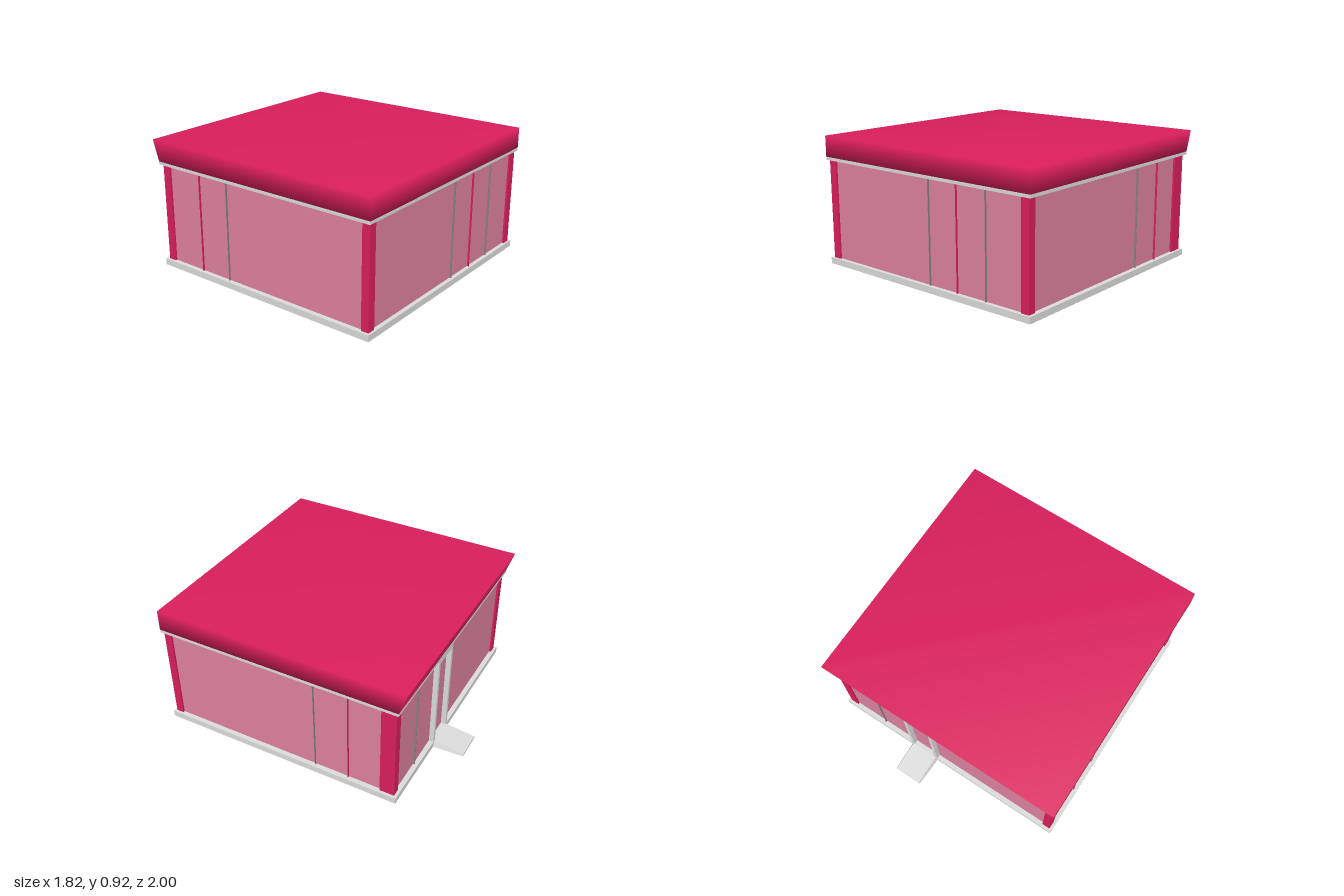
import * as THREE from 'three';

const mat = (name, color) => new THREE.MeshStandardMaterial({ name, color });

// Closed eight-cornered solid: bottom ring then top ring, each listed
// (-x,+z), (+x,+z), (+x,-z), (-x,-z). Shared corners give soft shading.
function hexahedron(bottom, top) {
  const geo = new THREE.BufferGeometry();
  geo.setAttribute('position', new THREE.Float32BufferAttribute([...bottom, ...top].flat(), 3));
  const index = [0, 2, 1, 0, 3, 2, 4, 5, 6, 4, 6, 7];
  for (let i = 0; i < 4; i++) {
    const j = (i + 1) % 4;
    index.push(i, j, j + 4, i, j + 4, i + 4);
  }
  geo.setIndex(index);
  geo.computeVertexNormals();
  return geo;
}

// Horizontal ring of four corners; the height may differ front to back
const ring = (x0, x1, zFront, zBack, yFront, yBack = yFront) => [
  [x0, yFront, zFront], [x1, yFront, zFront], [x1, yBack, zBack], [x0, yBack, zBack],
];

export function createModel() {
  const group = new THREE.Group();
  const crimson = mat('crimson', 0xd81e5b);
  const rose = mat('rose panel', 0xdc809d);
  const grey = mat('light grey', 0xdadada);
  const seamGrey = mat('seam grey', 0x858085);

  const add = (name, geo, material) => {
    const mesh = new THREE.Mesh(geo, material);
    mesh.name = name;
    group.add(mesh);
    return mesh;
  };
  // Box given by its limits on each axis
  const box = (name, material, x0, x1, y0, y1, z0, z1) => {
    const geo = new THREE.BoxGeometry(x1 - x0, y1 - y0, z1 - z0);
    add(name, geo, material).position.set((x0 + x1) / 2, (y0 + y1) / 2, (z0 + z1) / 2);
  };

  const floorY = 0.045, ceilY = 0.75;

  // Floor slab, wall panels and top rail
  box('floorSlab', grey, -0.91, 0.91, 0, floorY, -0.78, 1);
  box('wallPanels', rose, -0.876, 0.876, floorY, ceilY, -0.746, 0.971);
  box('topRail', grey, -0.91, 0.91, ceilY, 0.772, -0.78, 1);

  // Corner posts
  for (const s of [-1, 1]) {
    const a = s * 0.83, b = s * 0.89;
    const x0 = Math.min(a, b), x1 = Math.max(a, b);
    box('frontPost', crimson, x0, x1, floorY, ceilY, 0.93, 0.985);
    box('backPost', crimson, x0, x1, floorY, ceilY, -0.76, s > 0 ? -0.655 : -0.7);
  }

  // Thin upright fins between wall panels
  const t = 0.002;
  for (const [x, m] of [[0.07, seamGrey], [0.31, crimson], [0.55, seamGrey]])
    box('frontSeam', m, x - t, x + t, floorY, ceilY, 0.97, 0.984);
  box('backSeam', seamGrey, 0.57 - t, 0.57 + t, floorY, ceilY, -0.759, -0.745);
  for (const [z, m] of [[-0.17, seamGrey], [-0.42, crimson]]) {
    box('leftSeam', m, 0.875, 0.889, floorY, ceilY, z - t, z + t);
    box('rightSeam', m, -0.889, -0.875, floorY, ceilY, z - t, z + t);
  }

  // Flat roof with a back fascia leaning outwards
  add('roof', hexahedron(
    ring(-0.91, 0.91, 1, -0.78, 0.772),
    ring(-0.91, 0.91, 1, -0.83, 0.92),
  ), crimson);

  // Door frame on the back wall
  const doorX = 0.2, half = 0.115, bar = 0.025;
  for (const s of [-1, 1]) {
    const c = doorX + s * (half - bar / 2);
    box('doorJamb', grey, c - bar / 2, c + bar / 2, floorY, ceilY, -0.78, -0.74);
  }
  box('doorHead', grey, doorX - half + bar, doorX + half - bar, 0.72, ceilY, -0.78, -0.74);

  // Entry ramp with splayed sides
  const ramp = hexahedron(
    [[0.085, 0, -0.78], [0.315, 0, -0.78], [0.306, 0, -1], [0.094, 0, -1]],
    ring(0.1, 0.3, -0.78, -1, floorY, 0.017),
  ).toNonIndexed();
  ramp.computeVertexNormals();
  add('ramp', ramp, grey);

  return group;
}
